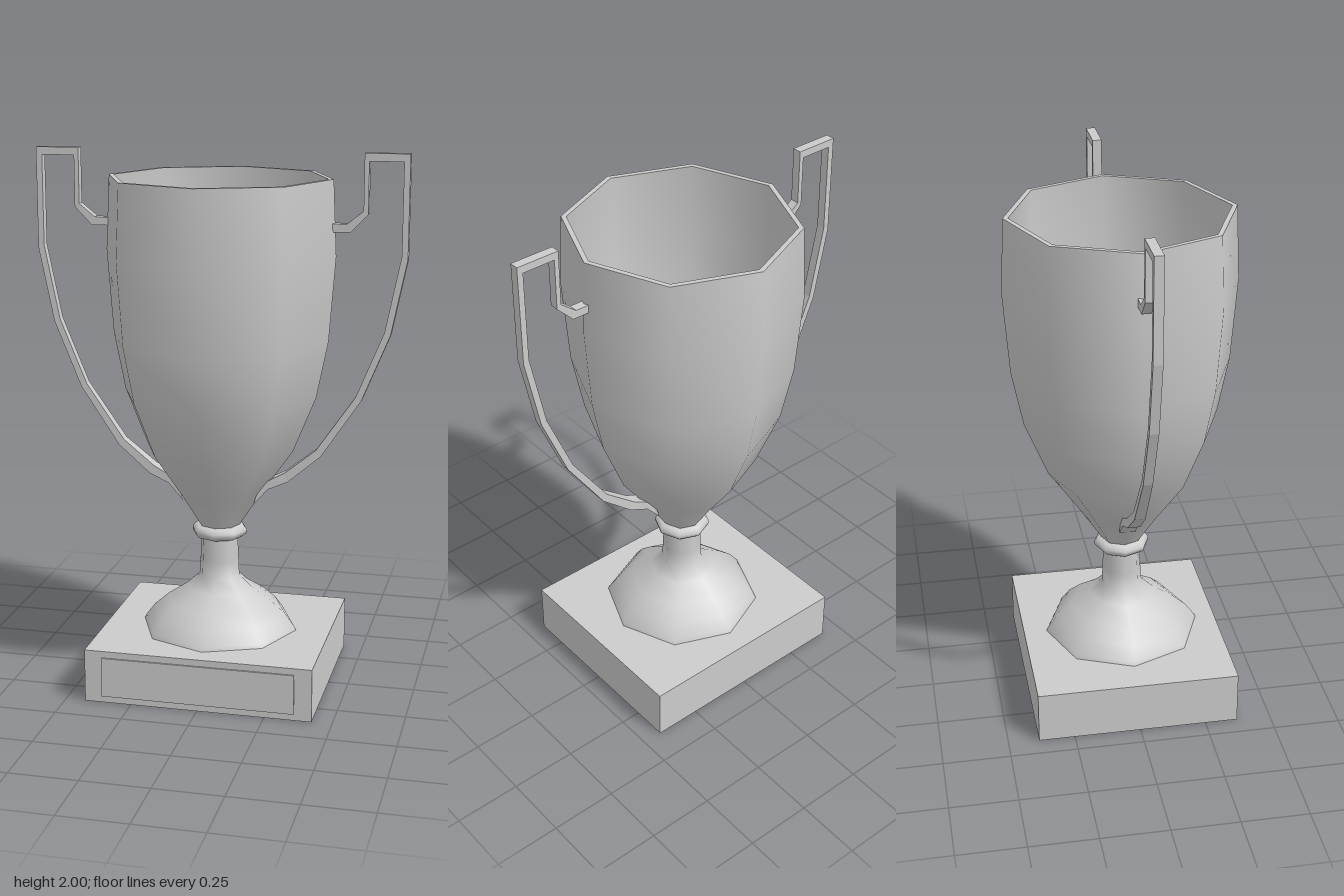
import * as THREE from 'three';

const SIDES = 8;
const grey = new THREE.MeshStandardMaterial({ color: 0xcccccc });
const faceted = new THREE.MeshStandardMaterial({ color: 0xcccccc, flatShading: true });

function add(parent, name, geometry, material) {
  const mesh = new THREE.Mesh(geometry, material);
  mesh.name = name;
  parent.add(mesh);
  return mesh;
}

// Eight-sided turned part from [radius, height] pairs
function turned(parent, name, profile) {
  const points = profile.map(([r, y]) => new THREE.Vector2(r, y));
  return add(parent, name, new THREE.LatheGeometry(points, SIDES), grey);
}

// Strap swept through sections: [outer x, outer y, inner x, inner y, half depth]
function strap(sections) {
  const positions = [];
  const index = [];
  for (const [ox, oy, ix, iy, d] of sections) {
    positions.push(ox, oy, d, ix, iy, d, ix, iy, -d, ox, oy, -d);
  }
  for (let s = 0; s < sections.length - 1; s++) {
    for (let k = 0; k < 4; k++) {
      const a = s * 4 + k;
      const b = s * 4 + ((k + 1) % 4);
      index.push(a, b, b + 4, a, b + 4, a + 4);
    }
  }
  const e = (sections.length - 1) * 4;
  index.push(0, 2, 1, 0, 3, 2, e, e + 1, e + 2, e, e + 2, e + 3);
  const geometry = new THREE.BufferGeometry();
  geometry.setAttribute('position', new THREE.Float32BufferAttribute(positions, 3));
  geometry.setIndex(index);
  const flat = geometry.toNonIndexed();
  flat.computeVertexNormals();
  return flat;
}

export function createModel() {
  const model = new THREE.Group();
  model.name = 'trophyCup';

  // Block base with a thin plate on its front
  add(model, 'plinth', new THREE.BoxGeometry(0.85, 0.2, 0.757), faceted)
    .position.set(0, 0.1, -0.0065);
  add(model, 'plaque', new THREE.BoxGeometry(0.72, 0.15, 0.02), faceted)
    .position.set(0, 0.1, 0.368);

  // Flared foot, stem and collar
  turned(model, 'foot', [
    [0.297, 0.2], [0.29, 0.215], [0.255, 0.262], [0.2, 0.31], [0.125, 0.36],
    [0.077, 0.405], [0.074, 0.47], [0.07, 0.57],
  ]);
  turned(model, 'collar', [
    [0.068, 0.555], [0.09, 0.56], [0.103, 0.573], [0.105, 0.587],
    [0.093, 0.603], [0.065, 0.608],
  ]);

  // Bowl: outer wall, flat rim and inner wall
  const wall = [
    [0.074, 0.6], [0.165, 0.74], [0.277, 0.9], [0.362, 1.11],
    [0.404, 1.32], [0.427, 1.63], [0.414, 1.905],
  ];
  turned(model, 'bowlOutside', wall);
  turned(model, 'bowlRim', [[0.414, 1.905], [0.395, 1.905]]);
  const inside = wall.slice(1).map(([r, y]) => [r - 0.019, y]).reverse();
  turned(model, 'bowlInside', [...inside, [0.06, 0.64], [0, 0.625]]);

  // Pair of strap handles, widening where they meet the lower bowl
  const handle = strap([
    [0.408, 1.75, 0.408, 1.72, 0.017],
    [0.465, 1.75, 0.478, 1.72, 0.017],
    [0.524, 1.797, 0.541, 1.785, 0.017],
    [0.524, 2.0, 0.541, 1.972, 0.017],
    [0.685, 2.0, 0.663, 1.972, 0.017],
    [0.685, 1.63, 0.663, 1.64, 0.017],
    [0.63, 1.355, 0.608, 1.365, 0.017],
    [0.53, 1.11, 0.509, 1.123, 0.017],
    [0.385, 0.893, 0.366, 0.915, 0.02],
    [0.265, 0.79, 0.25, 0.822, 0.024],
    [0.19, 0.757, 0.19, 0.79, 0.028],
    [0.135, 0.695, 0.15, 0.74, 0.031],
  ]);
  for (const [name, turn] of [['leftHandle', 0], ['rightHandle', Math.PI]]) {
    add(model, name, handle, faceted).rotation.y = turn;
  }

  return model;
}
